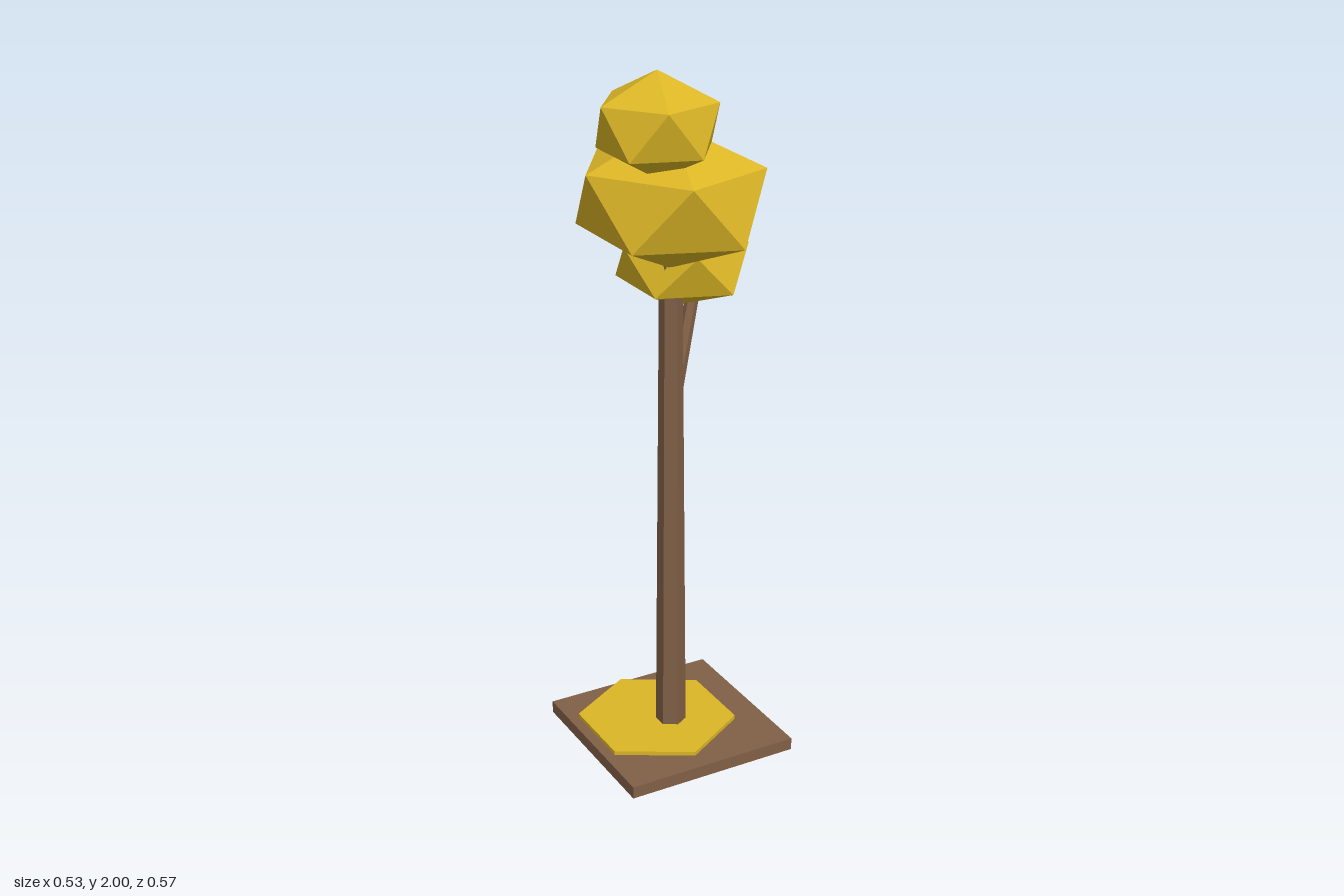
import * as THREE from 'three';
import { ConvexGeometry } from 'three/addons/geometries/ConvexGeometry.js';

const bark = new THREE.MeshStandardMaterial({ color: 0x805f46, flatShading: true });
bark.name = 'bark brown';
const leaf = new THREE.MeshStandardMaterial({ color: 0xdcb626, flatShading: true });
leaf.name = 'autumn yellow';

// Stretched icosahedron with a pole straight up; the upper ring has a corner at -x
function leafClump(rx, ry, rz) {
  const ring = 2 / Math.sqrt(5), level = 1 / Math.sqrt(5);
  const points = [new THREE.Vector3(0, ry, 0), new THREE.Vector3(0, -ry, 0)];
  for (let i = 0; i < 5; i++) {
    const a = (i * Math.PI * 2) / 5;
    const x = rx * ring * Math.cos(a), z = rz * ring * Math.sin(a);
    points.push(new THREE.Vector3(-x, ry * level, z), new THREE.Vector3(x, -ry * level, z));
  }
  return new ConvexGeometry(points);
}

// Six-sided tapered limb between two points
function limb(from, to, r0, r1) {
  const a = new THREE.Vector3(...from), b = new THREE.Vector3(...to);
  const dir = b.clone().sub(a);
  const geometry = new THREE.CylinderGeometry(r1, r0, dir.length(), 6);
  geometry.applyQuaternion(
    new THREE.Quaternion().setFromUnitVectors(new THREE.Vector3(0, 1, 0), dir.normalize()));
  const mid = a.add(b).multiplyScalar(0.5);
  return geometry.translate(mid.x, mid.y, mid.z);
}

export function createModel() {
  const tree = new THREE.Group();
  tree.name = 'tree';
  const add = (name, geometry, material, x = 0, y = 0, z = 0) => {
    const mesh = new THREE.Mesh(geometry, material);
    mesh.name = name;
    mesh.position.set(x, y, z);
    tree.add(mesh);
  };

  // Ground slab and the patch of fallen leaves
  add('base', new THREE.BoxGeometry(0.52, 0.036, 0.52), bark, -0.004, 0.018, -0.004);
  add('fallenLeaves', new THREE.CylinderGeometry(0.231, 0.231, 0.012, 6), leaf, -0.034, 0.042, -0.031);

  // Trunk and side branch
  add('trunk', limb([-0.005, 0.03, 0.003], [-0.005, 1.5, 0.003], 0.044, 0.031), bark);
  add('branch', limb([0, 1.0, -0.008], [0.118, 1.36, -0.083], 0.021, 0.019), bark);

  // Leaf clumps: name, centre, radii
  const clumps = [
    ['topLeaves', [-0.1, 1.86, 0.105], [0.177, 0.14, 0.177]],
    ['middleLeaves', [-0.018, 1.644, 0.022], [0.273, 0.196, 0.305]],
    ['branchLeaves', [0.084, 1.424, -0.098], [0.199, 0.131, 0.22]],
  ];
  for (const [name, centre, radii] of clumps) add(name, leafClump(...radii), leaf, ...centre);

  return tree;
}
